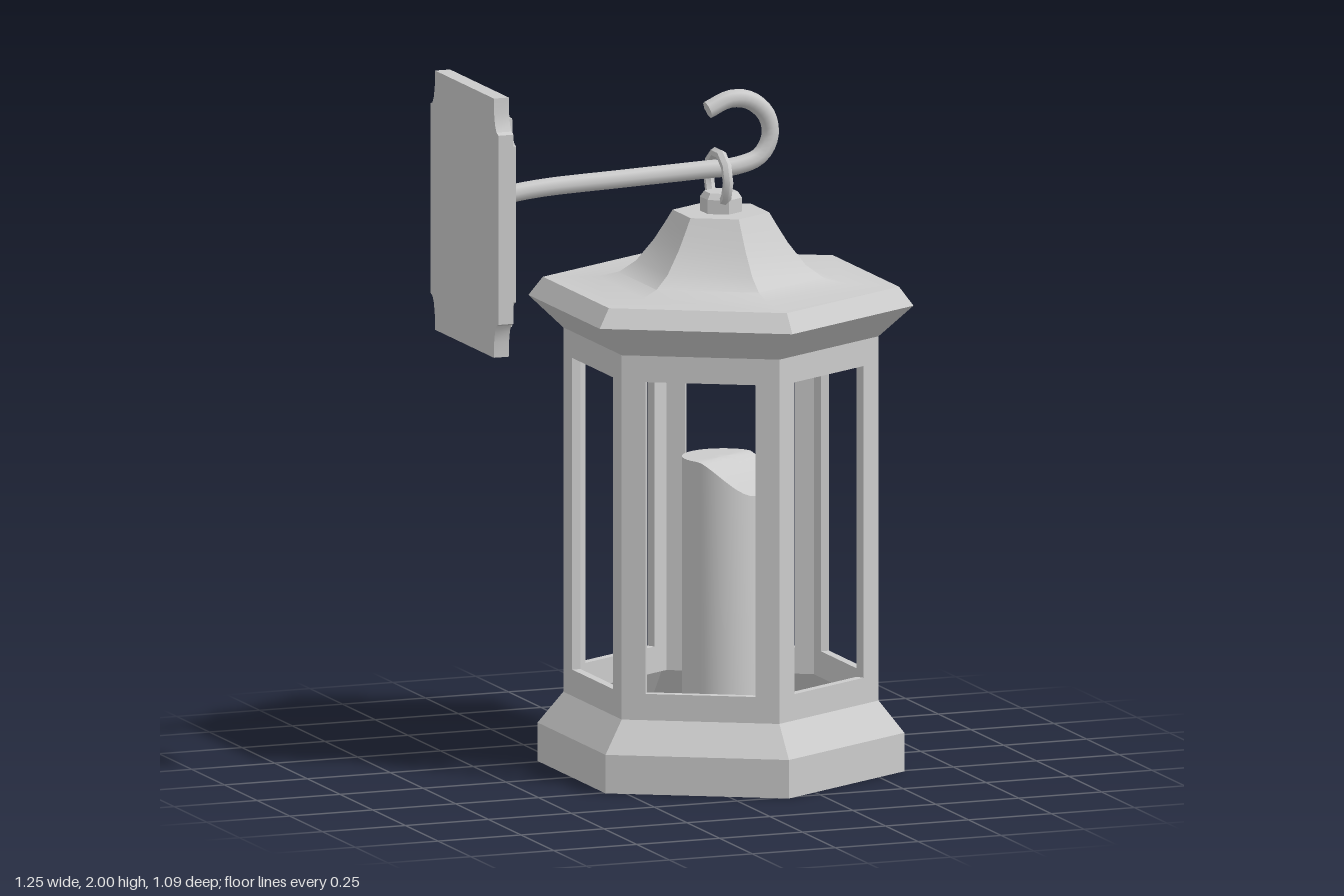
import * as THREE from 'three';
import { toCreasedNormals } from 'three/addons/utils/BufferGeometryUtils.js';

const material = new THREE.MeshStandardMaterial({ color: 0xcccccc });
const thin = new THREE.MeshStandardMaterial({ color: 0xcccccc, side: THREE.DoubleSide });

function add(parent, name, geometry, mat = material) {
  const mesh = new THREE.Mesh(geometry, mat);
  mesh.name = name;
  parent.add(mesh);
  return mesh;
}

// Profile of [corner radius, height] turned into a six-sided shell
function hexShell(points) {
  const profile = points.map(([r, y]) => new THREE.Vector2(r, y));
  return toCreasedNormals(new THREE.LatheGeometry(profile, 6), 0.5);
}

// Upright plate in the yz plane with scooped corners
function wallPlate(halfWidth, height, notchW, notchH, depth) {
  const w = halfWidth, h = height / 2, a = w - notchW, b = h - notchH;
  const s = new THREE.Shape();
  s.moveTo(-a, -h);
  s.lineTo(a, -h);
  s.quadraticCurveTo(a, -b, w, -b);
  s.lineTo(w, b);
  s.quadraticCurveTo(a, b, a, h);
  s.lineTo(-a, h);
  s.quadraticCurveTo(-a, b, -w, b);
  s.lineTo(-w, -b);
  s.quadraticCurveTo(-a, -b, -a, -h);
  const g = new THREE.ExtrudeGeometry(s, { depth, bevelEnabled: false, curveSegments: 4 });
  return toCreasedNormals(g.rotateY(Math.PI / 2), 0.6);
}

// Window frame panel: outer face at z = 0, thickness going inward
function windowPanel(width, y0, y1, stile, rail, thickness) {
  const w = width / 2, v = w - stile;
  const s = new THREE.Shape();
  s.moveTo(-w, y0);
  s.lineTo(w, y0);
  s.lineTo(w, y1);
  s.lineTo(-w, y1);
  const hole = new THREE.Path();
  hole.moveTo(-v, y0 + rail);
  hole.lineTo(-v, y1 - rail);
  hole.lineTo(v, y1 - rail);
  hole.lineTo(v, y0 + rail);
  s.holes.push(hole);
  const g = new THREE.ExtrudeGeometry(s, { depth: thickness, bevelEnabled: false });
  return g.translate(0, 0, -thickness);
}

// Candle with a melted dip on one side of its rim
function candleGeometry(radius, top) {
  const pts = [[0, 0.004], [radius, 0.004], [radius, top]];
  for (const k of [0.8, 0.6, 0.4, 0.2, 0]) pts.push([radius * k, top]);
  const g = new THREE.LatheGeometry(pts.map(([r, y]) => new THREE.Vector2(r, y)), 40);
  const p = g.attributes.position;
  const dx = Math.sin(Math.PI / 6), dz = Math.cos(Math.PI / 6);
  for (let i = 0; i < p.count; i++) {
    if (p.getY(i) < top - 0.01) continue;
    const t = Math.max(0, (p.getX(i) * dx + p.getZ(i) * dz) / radius);
    p.setY(i, top - 0.1 * Math.pow(t, 1.6));
  }
  return toCreasedNormals(g, 0.6);
}

export function createModel() {
  const model = new THREE.Group();
  model.name = 'wallLantern';

  // Lantern body
  const lantern = new THREE.Group();
  lantern.name = 'lantern';
  lantern.position.x = 0.148;
  model.add(lantern);

  const R = 0.447, apothem = R * Math.cos(Math.PI / 6);
  add(lantern, 'base', hexShell([[0, 0], [0.52, 0], [0.52, 0.11], [R, 0.2]]), thin);

  const panel = windowPanel(R, 0.2, 1.24, 0.068, 0.075, 0.025);
  for (let i = 0; i < 6; i++) {
    const angle = Math.PI / 6 + (i * Math.PI) / 3;
    const frame = add(lantern, 'windowFrame' + (i + 1), panel);
    frame.position.set(Math.sin(angle) * apothem, 0, Math.cos(angle) * apothem);
    frame.rotation.y = angle;
  }

  add(lantern, 'roof', hexShell([
    [R, 1.24], [0.546, 1.33], [0.505, 1.383], [0.35, 1.388], [0.29, 1.403],
    [0.24, 1.438], [0.19, 1.5], [0.16, 1.547], [0.137, 1.585], [0, 1.585],
  ]), thin);
  add(lantern, 'finial', hexShell([[0.06, 1.58], [0.06, 1.625], [0.048, 1.642], [0, 1.642]]));

  const candle = add(lantern, 'candle', candleGeometry(0.116, 0.885));
  candle.position.x = 0.007;

  // Hanging ring in the yz plane
  const ringShape = new THREE.TorusGeometry(0.075, 0.015, 6, 10);
  const ring = add(lantern, 'hangingRing', toCreasedNormals(ringShape.rotateY(Math.PI / 2), 0.7));
  ring.position.set(-0.008, 1.678, 0);

  // Wall plates
  const back = add(model, 'backPlate', wallPlate(0.26, 0.74, 0.035, 0.1, 0.045));
  back.position.set(-0.625, 1.63, 0);
  const front = add(model, 'frontPlate', wallPlate(0.205, 0.595, 0.03, 0.075, 0.03));
  front.position.set(-0.58, 1.632, 0);

  // Bracket arm ending in an upturned hook
  const path = new THREE.CatmullRomCurve3([
    [-0.57, 1.652], [-0.5, 1.675], [-0.4, 1.688], [-0.15, 1.698], [0.08, 1.706], [0.2, 1.712],
    [0.265, 1.735], [0.296, 1.79], [0.285, 1.85], [0.235, 1.895], [0.175, 1.903], [0.108, 1.876],
  ].map(([x, y]) => new THREE.Vector3(x, y, 0)));
  add(model, 'hookArm', new THREE.TubeGeometry(path, 64, 0.026, 8));

  // Closed ends of the arm
  for (const t of [0, 1]) {
    const cap = add(model, t ? 'hookTip' : 'armRoot', new THREE.CircleGeometry(0.026, 8), thin);
    const end = path.getPointAt(t);
    cap.position.copy(end);
    cap.lookAt(end.clone().addScaledVector(path.getTangentAt(t), t ? 1 : -1));
  }
  return model;
}
